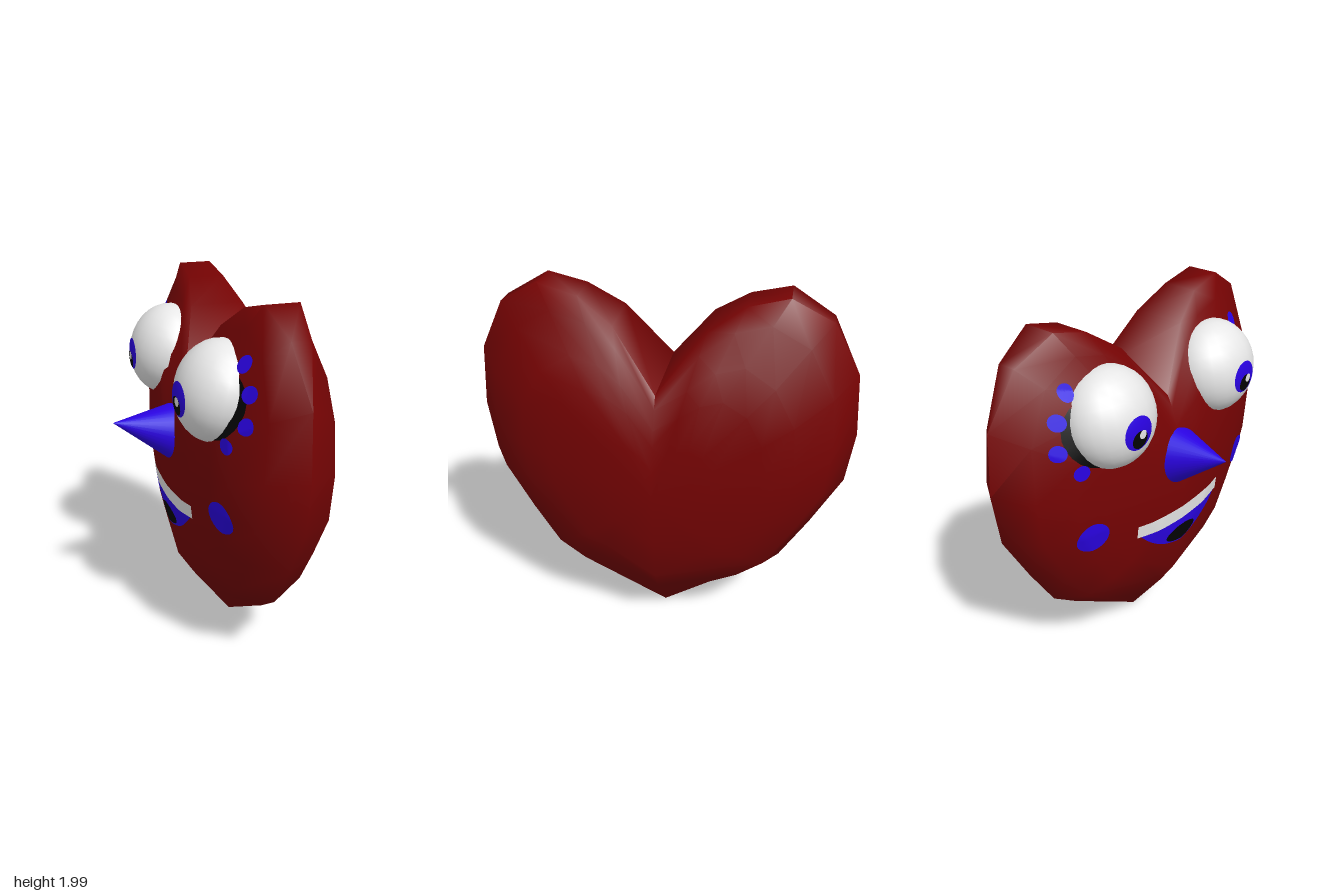
import * as THREE from 'three';
import { toCreasedNormals } from 'three/addons/utils/BufferGeometryUtils.js';

const paint = (name, color) => {
  const m = new THREE.MeshStandardMaterial({ color, side: THREE.DoubleSide });
  m.name = name;
  return m;
};

const MID = 0.14, HALF = 0.38; // middle plane and half thickness of the heart

// Half outline from tip to notch: z, y, half width of the rim, steepest taper to the rim
const OUTLINE = [
  [0, 0.01, 0, 0.74], [0.49, 0.33, 0, 9], [0.65, 0.45, 0, 9], [0.8, 0.7, 0, 9], [0.955, 0.99, 0, 9],
  [0.99, 1.27, 0, 9], [0.965, 1.6, 0, 1.3], [0.82, 1.88, 0.05, 0.73], [0.61, 2, 0.09, 0.49],
  [0.41, 1.95, 0.1, 0.5], [0.23, 1.83, 0.15, 0.5], [0, 1.53, 0.26, 9],
];

function heartGeometry() {
  const loop = [...OUTLINE, ...OUTLINE.slice(1, -1).reverse().map(([z, y, w, k]) => [-z, y, w, k])];
  const n = loop.length;
  const steps = [0, 0.3, 0.55, 0.7, 0.88, 1];
  const rows = [...steps.map(s => [s, -1]), ...steps.slice().reverse().map(s => [s, 1])];
  const pos = [], idx = [];
  for (const [s, side] of rows) {
    for (const [z, y, w, k] of loop) {
      const round = Math.sqrt(w * w + (HALF * HALF - w * w) * (1 - s * s));
      const t = Math.min(round, w + (1 - s) * k);
      pos.push(MID + side * t, 1 + (y - 1) * s, z * s);
    }
  }
  for (let i = 0; i < rows.length - 1; i++) {
    for (let j = 0; j < n; j++) {
      const k = (j + 1) % n;
      const a = i * n + j, b = a + n, c = (i + 1) * n + k, d = i * n + k;
      idx.push(a, b, c, a, c, d);
    }
  }
  const g = new THREE.BufferGeometry();
  g.setAttribute('position', new THREE.Float32BufferAttribute(pos, 3));
  g.setIndex(idx);
  return toCreasedNormals(g, 1.2);
}

export function createModel() {
  const root = new THREE.Group();
  root.name = 'heartCharacter';
  const red = paint('heartRed', 0x760303);
  const blue = paint('vividBlue', 0x2a02e2);
  const white = paint('white', 0xe7e7e7);
  const black = paint('black', 0x030303);

  const add = (parent, name, geometry, material) => {
    const mesh = new THREE.Mesh(geometry, material);
    mesh.name = name;
    parent.add(mesh);
    return mesh;
  };

  const body = add(root, 'heartBody', heartGeometry(), red);
  body.updateMatrixWorld(true);

  // Lay a flat patch, given in (z, y), onto the face side of the heart
  const ray = new THREE.Raycaster();
  const along = new THREE.Vector3(1, 0, 0);
  function decal(name, geometry, material, lift = 0.006) {
    const p = geometry.attributes.position;
    for (let i = 0; i < p.count; i++) {
      const z = p.getX(i), y = p.getY(i);
      ray.set(new THREE.Vector3(-3, y, z), along);
      const hit = ray.intersectObject(body)[0];
      p.setXYZ(i, (hit ? hit.point.x : MID) - lift, y, z);
    }
    // The axis swap (x, y) to (z, y) already turns the patch towards -x
    geometry.computeVertexNormals();
    return add(root, name, geometry, material);
  }
  const disc = (z, y, rz, ry = rz) =>
    new THREE.RingGeometry(0.001, 1, 24, 5).scale(rz, ry, 1).translate(z, y, 0);
  function strip(half, bottom, top) {
    const g = new THREE.PlaneGeometry(2, 1, 24, 4);
    const p = g.attributes.position;
    for (let i = 0; i < p.count; i++) {
      const u = p.getX(i) * half, v = p.getY(i) + 0.5;
      p.setXY(i, u * 0.34, THREE.MathUtils.lerp(bottom(u), top(u), v));
    }
    return g;
  }

  // Mouth: teeth band, lower mouth and dark throat
  const teethLow = u => 0.82 + 0.025 * u * u;
  decal('teeth', strip(1, teethLow, u => 0.9 + 0.02 * u * u), white);
  decal('mouth', strip(0.92, u => 0.67 + 0.2 * u * u, teethLow), blue);
  decal('throat', disc(0, 0.73, 0.12, 0.05), black, 0.009);

  // Nose cone, tilted slightly upwards
  const base = new THREE.Vector3(-0.19, 1.215, -0.01);
  const axis = new THREE.Vector3(-0.52, 1.29, -0.02).sub(base);
  const nose = add(root, 'nose', new THREE.ConeGeometry(0.16, axis.length(), 32), blue);
  nose.position.copy(base).addScaledVector(axis, 0.5);
  nose.quaternion.setFromUnitVectors(new THREE.Vector3(0, 1, 0), axis.clone().normalize());

  // Thin cap on the eyeball, turned down and sideways from its front
  const cap = (size, down, turn) => new THREE.SphereGeometry(1, 24, 5, 0, Math.PI * 2, 0, size)
    .rotateZ(Math.PI / 2 + down).rotateY(turn);

  const lashDots = [[0.64, 1.745], [0.72, 1.625], [0.75, 1.485], [0.66, 1.365]];

  for (const side of [-1, 1]) {
    const label = side > 0 ? 'left' : 'right';
    decal(label + 'Cheek', disc(side * 0.61, 0.97, 0.085), blue);

    // Dark lid patch and lash dots around the outer edge
    decal(label + 'Lid', disc(side * 0.52, 1.54, 0.2, 0.18), black, 0.004);
    for (const [z, y] of lashDots) decal(label + 'LashDot', disc(side * z, y, 0.041), blue, 0.008);

    // Flattened eyeball with iris, pupil and glint
    const eye = new THREE.Group();
    eye.name = label + 'Eye';
    eye.position.set(-0.095, 1.558, side * 0.415);
    eye.rotation.z = -0.25;
    eye.scale.set(0.21, 0.255, 0.258);
    root.add(eye);
    add(eye, 'eyeball', new THREE.SphereGeometry(1, 24, 16), white);
    const turn = side * 0.06;
    const layers = [
      ['iris', cap(0.35, 0.28, turn), blue, 1.01],
      ['pupil', cap(0.19, 0.4, turn), black, 1.02],
      ['glint', cap(0.09, 0.3, turn + 0.06), white, 1.03],
    ];
    for (const [name, g, m, k] of layers) add(eye, name, g, m).scale.setScalar(k);
  }
  return root;
}
